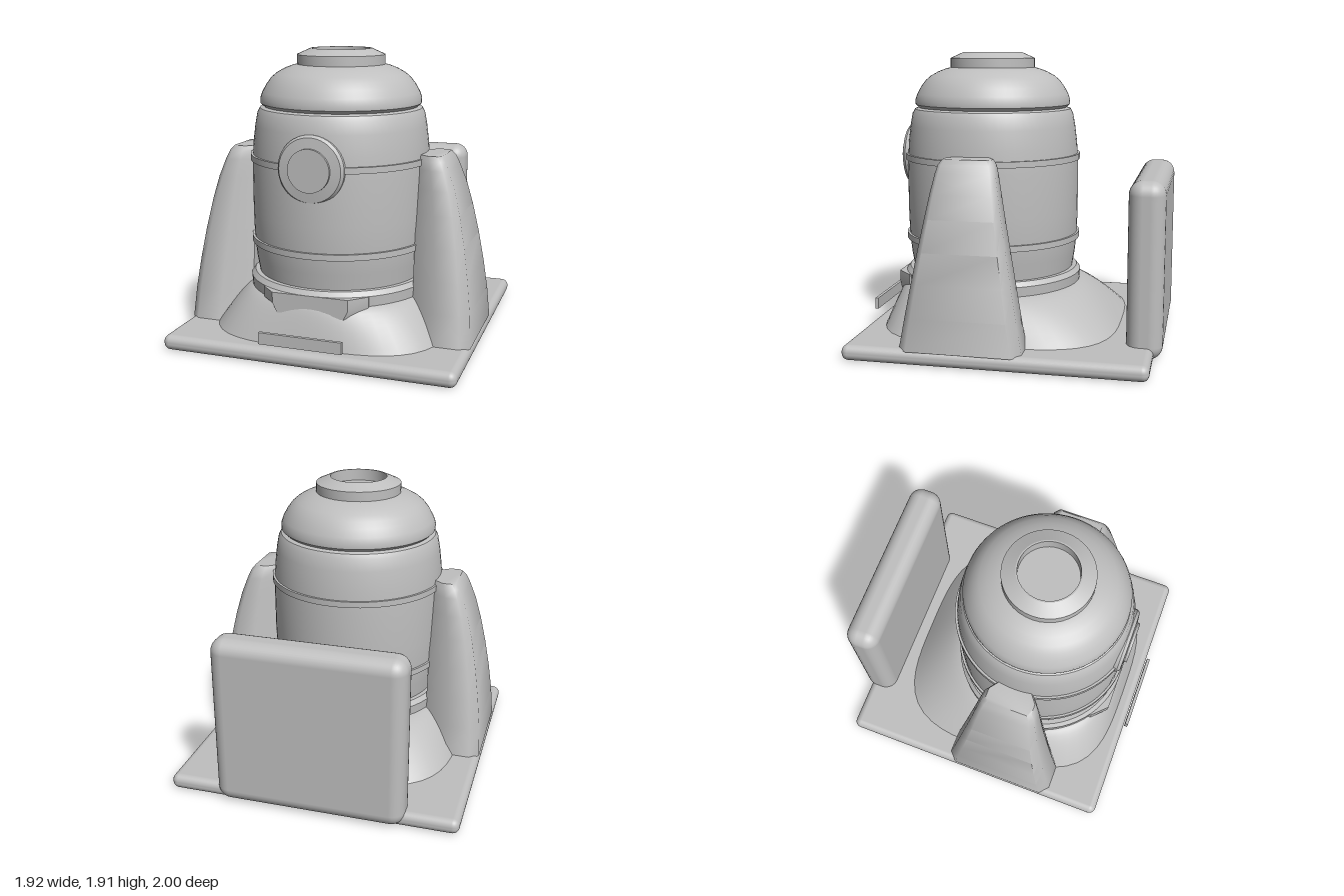
import * as THREE from 'three';
import { toCreasedNormals } from 'three/addons/utils/BufferGeometryUtils.js';
import { RoundedBoxGeometry } from 'three/addons/geometries/RoundedBoxGeometry.js';

const AXIS_Z = 0.215; // the tower stands a little in front of the centre

// Revolve [radius, height] pairs, keeping strong edges sharp
function lathe(points, segments = 64, crease = 0.6) {
  const profile = points.map(([r, y]) => new THREE.Vector2(r, y));
  return toCreasedNormals(new THREE.LatheGeometry(profile, segments), crease);
}

// Skin closed rings of [x, y, z], listed bottom to top, and cap both ends
function loft(rings, crease = 0.6) {
  const n = rings[0].length, last = (rings.length - 1) * n, index = [];
  for (let k = 0; k < rings.length - 1; k++) {
    for (let i = 0; i < n; i++) {
      const a = k * n + i, b = k * n + (i + 1) % n;
      index.push(a, a + n, b, b, a + n, b + n);
    }
  }
  for (let i = 1; i < n - 1; i++) {
    index.push(last, last + i + 1, last + i, 0, i, i + 1);
  }
  const geometry = new THREE.BufferGeometry();
  geometry.setAttribute('position', new THREE.Float32BufferAttribute(rings.flat(2), 3));
  geometry.setIndex(index);
  return toCreasedNormals(geometry, crease);
}

export function createModel() {
  const model = new THREE.Group();
  const grey = new THREE.MeshStandardMaterial({ color: 0xbfbfbf });
  grey.name = 'plain grey';

  function add(name, geometry, x = 0, y = 0, z = 0) {
    const mesh = new THREE.Mesh(geometry, grey);
    mesh.name = name;
    mesh.position.set(x, y, z);
    model.add(mesh);
    return mesh;
  }

  // Base slab, front plate and upright back panel
  add('base', new RoundedBoxGeometry(1.92, 0.1, 1.92, 4, 0.045), 0, 0.05, 0.015);
  add('namePlate', new THREE.BoxGeometry(0.54, 0.075, 0.022), 0, 0.178, 0.989);
  add('backPanel', new RoundedBoxGeometry(1.24, 1.13, 0.23, 4, 0.09), 0, 0.573, -0.885);

  // Flared skirt: a rounded square on the base blending to a circle
  const skirt = [];
  for (let k = 0; k <= 8; k++) {
    const s = 1 - k / 8, ring = [];
    for (let i = 0; i < 64; i++) {
      const a = i / 64 * Math.PI * 2, c = Math.cos(a), d = Math.sin(a);
      const square = 0.795 / (Math.abs(c) ** 3.5 + Math.abs(d) ** 3.5) ** (1 / 3.5);
      const r = THREE.MathUtils.lerp(0.59, square, s);
      ring.push([c * r, 0.36 - 0.27 * s ** 1.4, d * r + THREE.MathUtils.lerp(AXIS_Z, 0.095, s)]);
    }
    skirt.push(ring);
  }
  add('skirt', loft(skirt));

  // Collar with a dropped tab at the front
  add('collar', lathe([[0.57, 0.33], [0.6, 0.34], [0.605, 0.42], [0.58, 0.45], [0.5, 0.45]]), 0, 0, AXIS_Z);
  const tab = [[0.29, 0.26, 0.22], [0.35, 0.35, 0.25], [0.42, 0.35, 0.25]].map(([y, wide, flat]) =>
    [[wide, 0.5], [wide, 0.72], [flat, 0.82], [-flat, 0.82], [-wide, 0.72], [-wide, 0.5]]
      .map(([x, z]) => [x, y, z]));
  add('collarTab', loft(tab));

  // Barrel body and its two bands
  add('body', lathe([
    [0.545, 0.4], [0.55, 0.45], [0.567, 0.55], [0.58, 0.67], [0.585, 0.85], [0.585, 1.15],
    [0.577, 1.3], [0.562, 1.42], [0.547, 1.5], [0.53, 1.53], [0.48, 1.545],
  ]), 0, 0, AXIS_Z);
  for (const y of [0.67, 1.21]) {
    add('bodyBand', lathe([
      [0.57, y - 0.02], [0.596, y - 0.02], [0.596, y + 0.02], [0.57, y + 0.02],
    ]), 0, 0, AXIS_Z);
  }

  // Domed head and hollow cap
  add('head', lathe([
    [0.46, 1.535], [0.505, 1.54], [0.526, 1.56], [0.527, 1.59], [0.513, 1.63], [0.485, 1.68],
    [0.455, 1.72], [0.42, 1.75], [0.37, 1.778], [0.32, 1.797], [0.27, 1.81], [0, 1.815],
  ]), 0, 0, AXIS_Z);
  add('cap', lathe([
    [0.287, 1.8], [0.287, 1.868], [0.2, 1.907], [0.19, 1.907], [0.19, 1.83], [0, 1.83],
  ], 40, 0.35), 0, 0, AXIS_Z);

  // Round porthole on the chest
  const porthole = add('porthole', lathe([
    [0.205, -0.06], [0.215, 0], [0.215, 0.035], [0.2, 0.055], [0.135, 0.062], [0.135, 0.08], [0, 0.08],
  ], 48, 0.4), 0, 1.205, 0.745);
  porthole.rotation.x = Math.PI / 2;

  // Tapering side legs: [height, outer x, half depth]
  const section = [[1, -0.85], [1, 0.85], [0.85, 1], [0.45, 1], [0, 0.65], [0, -0.65], [0.45, -1], [0.85, -1]];
  const rows = [
    [0.09, 0.958, 0.39], [0.3, 0.943, 0.352], [0.5, 0.918, 0.316], [0.7, 0.886, 0.28],
    [0.9, 0.846, 0.243], [1.05, 0.807, 0.216], [1.17, 0.763, 0.193], [1.225, 0.738, 0.178], [1.257, 0.713, 0.155],
  ];
  const leg = loft(rows.map(([y, outer, half]) =>
    section.map(([u, v]) => [THREE.MathUtils.lerp(0.555, outer, u), y, v * half])), 0.85);
  add('leftLeg', leg, 0, 0, AXIS_Z);
  add('rightLeg', leg, 0, 0, AXIS_Z).rotation.y = Math.PI;

  return model;
}
